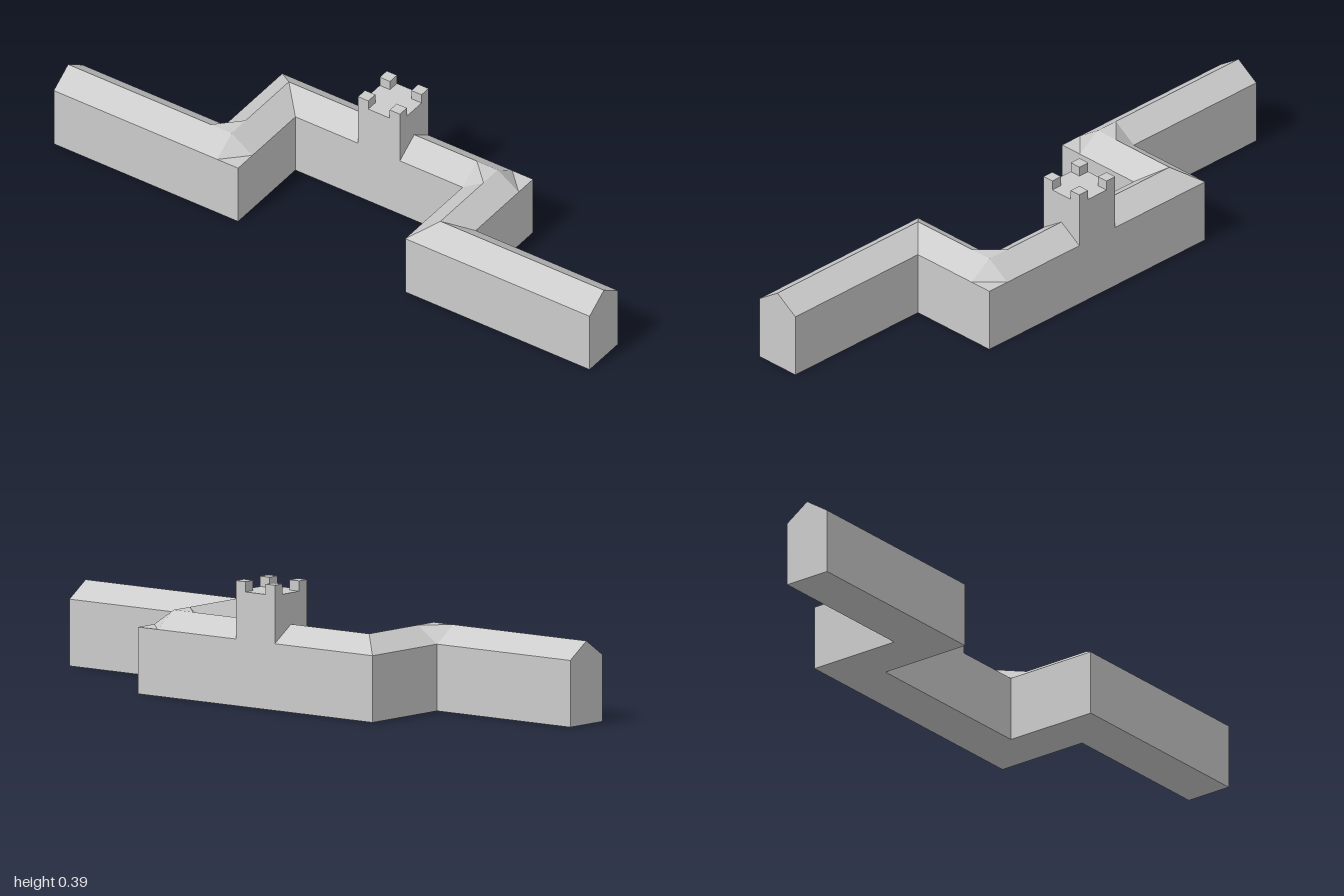
import * as THREE from 'three';

const HALF = 0.078;   // half the wall thickness
const EAVE = 0.208, RIDGE = 0.26;
// Centre line of the wall as [x, z]
const PATH = [[-1, 0.156], [-0.39, 0.156], [-0.39, -0.156], [0.39, -0.156], [0.39, 0.156], [1, 0.156]];
// Corners whose roof folds across the diagonal instead of along it
const CROSS_FOLDED = [1, 3];

const material = new THREE.MeshStandardMaterial({ color: 0xcccccc, flatShading: true });

function add(group, name, geometry, x = 0, y = 0, z = 0) {
  const mesh = new THREE.Mesh(geometry, material);
  mesh.name = name;
  mesh.position.set(x, y, z);
  group.add(mesh);
  return mesh;
}

const direction = (p, q) => {
  const dx = q[0] - p[0], dz = q[1] - p[1], l = Math.hypot(dx, dz);
  return [dx / l, dz / l];
};

// Triangles [a, b, c] to geometry, each turned to face upward
function upwardGeometry(triangles) {
  const points = [];
  for (const [a, b, c] of triangles) {
    const ny = (b.z - a.z) * (c.x - a.x) - (b.x - a.x) * (c.z - a.z);
    points.push(...(ny >= 0 ? [a, b, c] : [a, c, b]));
  }
  const geometry = new THREE.BufferGeometry().setFromPoints(points);
  geometry.computeVertexNormals();
  return geometry;
}

// Straight pitched roof between two points of the centre line
function roofSpan(p, q) {
  const [dx, dz] = direction(p, q);
  const at = (c, side) => new THREE.Vector3(
    c[0] - dz * HALF * side, side ? EAVE : RIDGE, c[1] + dx * HALF * side);
  return upwardGeometry([-1, 1].flatMap((s) => [
    [at(p, 0), at(q, 0), at(q, s)],
    [at(p, 0), at(q, s), at(p, s)],
  ]));
}

// Roof over a corner square; a and b point along the two arms
function roofCorner(c, a, b, crossFolded) {
  const at = (i, j) => {
    const high = (j === 0 && i >= 0) || (i === 0 && j >= 0);
    return new THREE.Vector3(c[0] + HALF * (i * a[0] + j * b[0]), high ? RIDGE : EAVE,
      c[1] + HALF * (i * a[1] + j * b[1]));
  };
  const triangles = [];
  for (const i of [-1, 1]) for (const j of [-1, 1]) {
    const o = at(0, 0), u = at(i, 0), v = at(0, j), w = at(i, j);
    if (crossFolded && i === j) triangles.push([o, u, v], [w, u, v]);
    else triangles.push([o, u, w], [o, w, v]);
  }
  return upwardGeometry(triangles);
}

function createWall() {
  const wall = new THREE.Group();
  wall.name = 'wall';

  // Body: mitred plan outline extruded up to the eaves
  const outline = (side) => PATH.map((p, i) => {
    const d0 = i > 0 ? direction(PATH[i - 1], p) : direction(p, PATH[i + 1]);
    const d1 = i < PATH.length - 1 ? direction(p, PATH[i + 1]) : d0;
    const straight = i === 0 || i === PATH.length - 1;
    const k = straight ? 0.5 : 1;
    return new THREE.Vector2(p[0] - (d0[1] + d1[1]) * k * HALF * side,
      -(p[1] + (d0[0] + d1[0]) * k * HALF * side));
  });
  const plan = new THREE.Shape([...outline(1), ...outline(-1).reverse()]);
  const body = new THREE.ExtrudeGeometry(plan, { depth: EAVE, bevelEnabled: false });
  add(wall, 'wallBody', body.rotateX(-Math.PI / 2));

  // Roof spans stop at the corner squares
  for (let i = 0; i < PATH.length - 1; i++) {
    const p = PATH[i], q = PATH[i + 1], [dx, dz] = direction(p, q);
    const s = i > 0 ? HALF : 0, e = i < PATH.length - 2 ? HALF : 0;
    add(wall, 'roofSpan', roofSpan([p[0] + dx * s, p[1] + dz * s], [q[0] - dx * e, q[1] - dz * e]));
  }
  for (let i = 1; i < PATH.length - 1; i++) {
    add(wall, 'roofCorner', roofCorner(PATH[i], direction(PATH[i], PATH[i - 1]),
      direction(PATH[i], PATH[i + 1]), CROSS_FOLDED.includes(i)));
  }

  // Gable triangles closing both ends
  const gable = new THREE.Shape([
    new THREE.Vector2(-HALF, EAVE), new THREE.Vector2(HALF, EAVE), new THREE.Vector2(0, RIDGE)]);
  for (const s of [-1, 1]) {
    add(wall, 'gable', new THREE.ShapeGeometry(gable), s, 0, PATH[0][1]).rotation.y = s * Math.PI / 2;
  }
  return wall;
}

function createTower() {
  const tower = new THREE.Group();
  tower.name = 'tower';
  tower.position.z = -0.156;
  const deck = 0.358, top = 0.39, merlon = 0.038;
  add(tower, 'towerShaft', new THREE.BoxGeometry(2 * HALF, deck - EAVE, 2 * HALF), 0, (deck + EAVE) / 2, 0);
  // One merlon on each corner
  const offset = HALF - merlon / 2;
  for (const sx of [-1, 1]) for (const sz of [-1, 1]) {
    add(tower, 'merlon', new THREE.BoxGeometry(merlon, top - deck, merlon),
      sx * offset, (deck + top) / 2, sz * offset);
  }
  return tower;
}

export function createModel() {
  const model = new THREE.Group();
  model.name = 'fortressWall';
  model.add(createWall(), createTower());
  return model;
}
